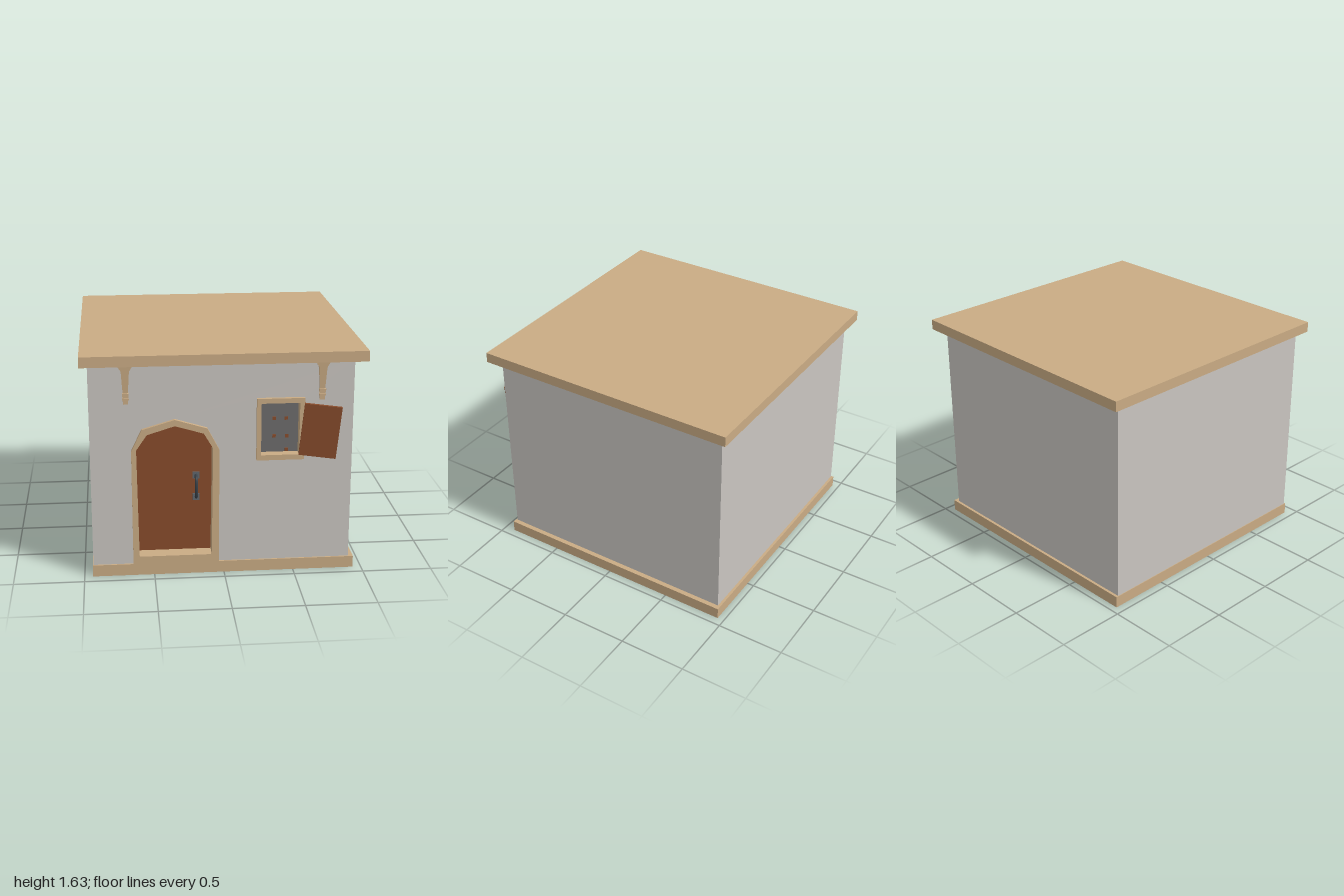
import * as THREE from 'three';

const mat = (name, color, side = THREE.FrontSide) => {
  const m = new THREE.MeshStandardMaterial({ color, side });
  m.name = name;
  return m;
};

export function createModel() {
  const house = new THREE.Group();
  house.name = 'house';
  const timber = mat('pale timber', 0xc9ab84, THREE.DoubleSide);
  const plaster = mat('grey plaster', 0xc9c5c0, THREE.DoubleSide);
  const wood = mat('brown wood', 0x874b2b);
  const glass = mat('dark glass', 0x6c6b6b);
  const iron = mat('iron', 0x5f666c);
  const darkIron = mat('dark iron', 0x394148);

  const add = (name, geo, material, parent = house) => {
    const mesh = new THREE.Mesh(geo, material);
    mesh.name = name;
    parent.add(mesh);
    return mesh;
  };
  // box given by its lower and upper limits
  const box = (name, m, x0, x1, y0, y1, z0, z1, parent) => {
    const mesh = add(name, new THREE.BoxGeometry(x1 - x0, y1 - y0, z1 - z0), m, parent);
    mesh.position.set((x0 + x1) / 2, (y0 + y1) / 2, (z0 + z1) / 2);
    return mesh;
  };
  const path = (pts, Type = THREE.Shape) => new Type(pts.map(p => new THREE.Vector2(...p)));
  const rect = (x0, x1, y0, y1) => [[x0, y0], [x1, y0], [x1, y1], [x0, y1]];
  const shape = (outer, ...holes) => {
    const s = path(outer);
    s.holes = holes.map(h => path(h, THREE.Path));
    return s;
  };
  // flat outline extruded between two depths
  const slab = (name, m, s, z0, z1, parent) => {
    const geo = new THREE.ExtrudeGeometry(s, { depth: z1 - z0, bevelEnabled: false });
    geo.translate(0, 0, z0);
    return add(name, geo, m, parent);
  };
  // upright sheet running from one ground point to another
  const sheet = (name, m, xa, za, xb, zb, y0, y1) => {
    const mesh = add(name, new THREE.PlaneGeometry(Math.hypot(xb - xa, zb - za), y1 - y0), m);
    mesh.position.set((xa + xb) / 2, (y0 + y1) / 2, (za + zb) / 2);
    mesh.rotation.y = Math.atan2(za - zb, xb - xa);
  };

  // roof slab
  box('roof', timber, -0.99, 0.99, 1.56, 1.635, -1, 0.975);

  // hollow base band with a narrow ledge on top
  const B = [-0.94, 0.94, -0.95, 0.92];
  const W = [-0.935, 0.905, -0.93, 0.908];
  sheet('baseFront', timber, B[0], B[3], B[1], B[3], 0, 0.085);
  sheet('baseRight', timber, B[1], B[3], B[1], B[2], 0, 0.085);
  sheet('baseBack', timber, B[1], B[2], B[0], B[2], 0, 0.085);
  sheet('baseLeft', timber, B[0], B[2], B[0], B[3], 0, 0.085);
  const ledge = add('baseLedge', new THREE.ShapeGeometry(shape(
    rect(B[0], B[1], -B[3], -B[2]), rect(W[0], W[1], -W[3], -W[2]))), timber);
  ledge.rotation.x = -Math.PI / 2;
  ledge.position.y = 0.085;

  // outlines of the door opening
  const frameOuter = [[-0.65, 0.085], [-0.037, 0.085], [-0.037, 0.94], [-0.12, 1.097],
    [-0.345, 1.165], [-0.575, 1.097], [-0.65, 0.94]];
  const frameInner = [[-0.605, 0.148], [-0.09, 0.148], [-0.08, 0.95], [-0.145, 1.06],
    [-0.345, 1.12], [-0.54, 1.06], [-0.615, 0.95]];
  const winOuter = rect(0.225, 0.56, 0.85, 1.3);
  const winInner = rect(0.256, 0.525, 0.888, 1.265);

  // plaster walls, the front one with openings
  const front = add('frontWall', new THREE.ShapeGeometry(
    shape(rect(W[0], W[1], 0.085, 1.56), frameOuter, winOuter)), plaster);
  front.position.z = W[3];
  sheet('rightWall', plaster, W[1], W[3], W[1], W[2], 0.085, 1.56);
  sheet('backWall', plaster, W[1], W[2], W[0], W[2], 0.085, 1.56);
  sheet('leftWall', plaster, W[0], W[2], W[0], W[3], 0.085, 1.56);

  // door with its frame and braced back
  const door = new THREE.Group();
  door.name = 'door';
  house.add(door);
  slab('doorFrame', timber, shape(frameOuter, frameInner), 0.78, 0.935, door);
  slab('doorPanel', wood, shape(frameInner), 0.8, 0.825, door);
  const inset = frameInner.map(([x, y]) => [-0.345 + (x + 0.345) * 0.8, 0.62 + (y - 0.62) * 0.88]);
  slab('doorBackFrame', wood, shape(frameInner, inset), 0.765, 0.8, door);
  for (const x of [-0.45, -0.345, -0.24])
    box('doorRib', wood, x - 0.012, x + 0.012, 0.2, 1.05, 0.77, 0.8, door);
  for (const y of [0.42, 0.68, 0.93])
    box('doorBar', wood, -0.57, -0.12, y - 0.03, y + 0.03, 0.755, 0.8, door);

  // door handle
  const handle = new THREE.Group();
  handle.name = 'doorHandle';
  house.add(handle);
  for (const y of [0.553, 0.717])
    box('handlePlate', iron, -0.217, -0.168, y - 0.025, y + 0.025, 0.825, 0.835, handle);
  const grip = new THREE.CatmullRomCurve3([[0.55, 0.83], [0.565, 0.86], [0.635, 0.875],
    [0.705, 0.86], [0.72, 0.83]].map(([y, z]) => new THREE.Vector3(-0.193, y, z)));
  add('handleGrip', new THREE.TubeGeometry(grip, 12, 0.011, 6), darkIron, handle);

  // window frame, pane and small studs
  slab('windowFrame', timber, shape(winOuter, winInner), 0.85, 0.935);
  box('windowPane', glass, 0.25, 0.53, 0.88, 1.27, 0.855, 0.863);
  for (const [x, y] of [[0.355, 1.135], [0.44, 1.135], [0.355, 1.005], [0.445, 1.005], [0.445, 0.902]])
    box('windowStud', wood, x - 0.012, x + 0.012, y - 0.012, y + 0.012, 0.863, 0.868);

  // crooked open shutter
  const shutter = new THREE.Group();
  shutter.name = 'shutter';
  shutter.position.set(0.535, 1.08, 0.962);
  shutter.rotation.set(0, -0.14, -0.1);
  house.add(shutter);
  box('shutterBoard', wood, 0, 0.26, -0.188, 0.188, -0.025, 0, shutter);

  // carved brackets under the eaves
  const profile = [[0.018, 1.36], [0.027, 1.5], [0.03, 1.52], [0.055, 1.56]];
  const mirrored = profile.map(([x, y]) => [-x, y]).reverse();
  for (const x of [-0.68, 0.68]) {
    const bracket = new THREE.Group();
    bracket.name = 'bracket';
    bracket.position.x = x;
    house.add(bracket);
    const body = slab('bracketBody', timber, shape([...profile, ...mirrored]), 0.905, 0.935, bracket);
    // the body thins towards its lower end
    const p = body.geometry.attributes.position;
    for (let i = 0; i < p.count; i++)
      if (p.getZ(i) > 0.92) p.setZ(i, 0.922 + 0.013 * (p.getY(i) - 1.36) / 0.2);
    body.geometry.computeVertexNormals();
    box('bracketCollar', timber, -0.023, 0.023, 1.34, 1.362, 0.905, 0.935, bracket);
    box('bracketNeck', timber, -0.02, 0.02, 1.325, 1.34, 0.905, 0.922, bracket);
    box('bracketRing', timber, -0.023, 0.023, 1.312, 1.327, 0.905, 0.93, bracket);
    box('bracketTip', timber, -0.018, 0.018, 1.28, 1.312, 0.905, 0.92, bracket);
  }
  return house;
}
